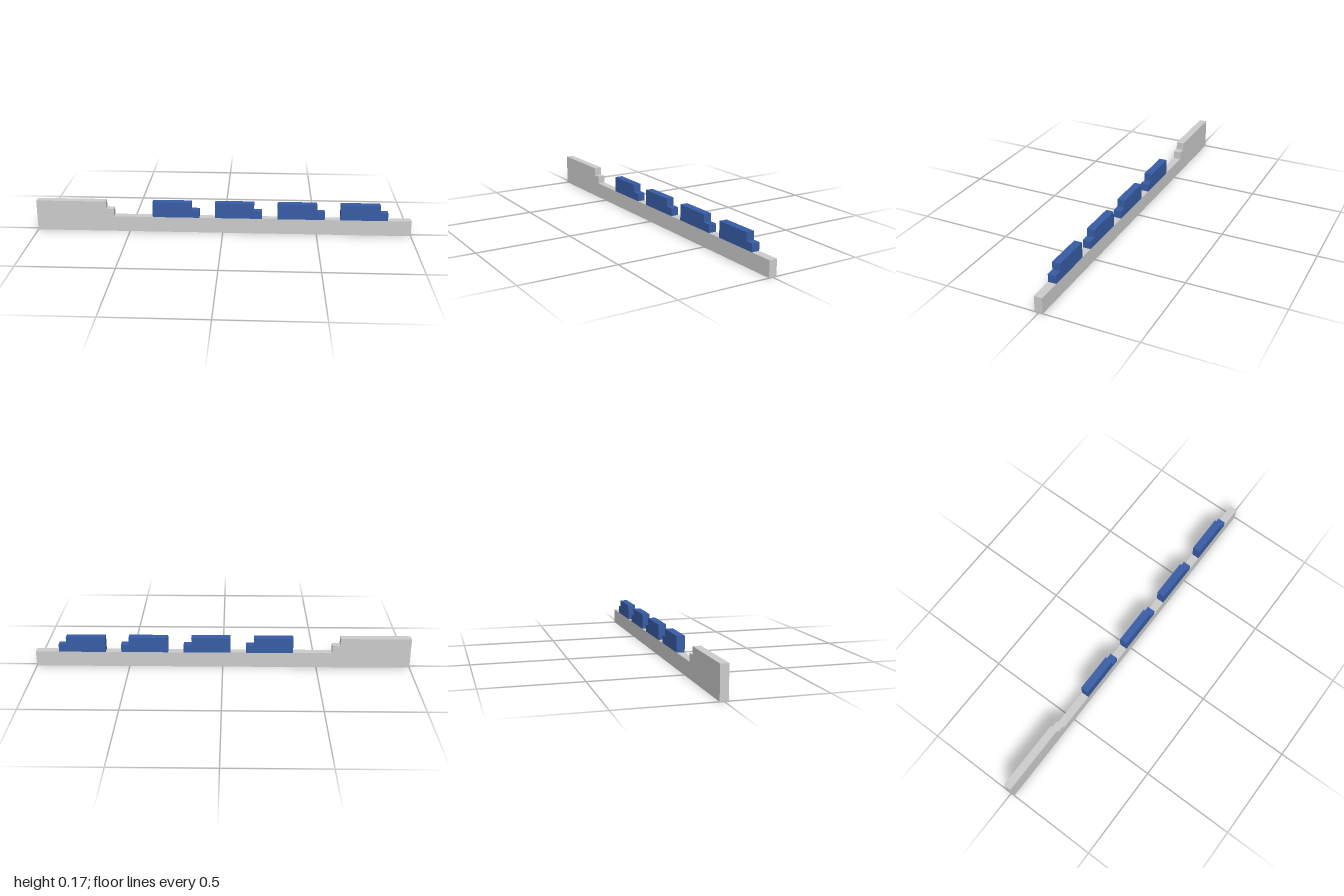
import * as THREE from 'three';

// Everything sits on a grid of 1/24
const U = 1 / 24;

// Extrudes an outline given in grid units to a slab one unit thick, centred on z
function slab(name, points, material) {
  const shape = new THREE.Shape(points.map(([x, y]) => new THREE.Vector2(x * U, y * U)));
  const geometry = new THREE.ExtrudeGeometry(shape, { depth: U, bevelEnabled: false });
  geometry.translate(0, 0, -U / 2);
  const mesh = new THREE.Mesh(geometry, material);
  mesh.name = name;
  return mesh;
}

export function createModel() {
  const group = new THREE.Group();
  group.name = 'steppedBar';
  const grey = new THREE.MeshStandardMaterial({ color: 0xcccccc });
  const blue = new THREE.MeshStandardMaterial({ color: 0x375ca5 });

  // Long bar with a raised, stepped head at its right end
  group.add(slab('bar', [
    [-24, 0], [24, 0], [24, 2], [-14, 2], [-14, 3], [-15, 3], [-15, 4], [-24, 4],
  ], grey));

  // Four evenly spaced blocks, each with a step on its left side
  for (let i = 0; i < 4; i++) {
    const block = slab(`block${i + 1}`, [
      [0, 2], [6, 2], [6, 3], [5, 3], [5, 4], [0, 4],
    ], blue);
    block.position.x = (-9 + 8 * i) * U;
    group.add(block);
  }
  return group;
}
